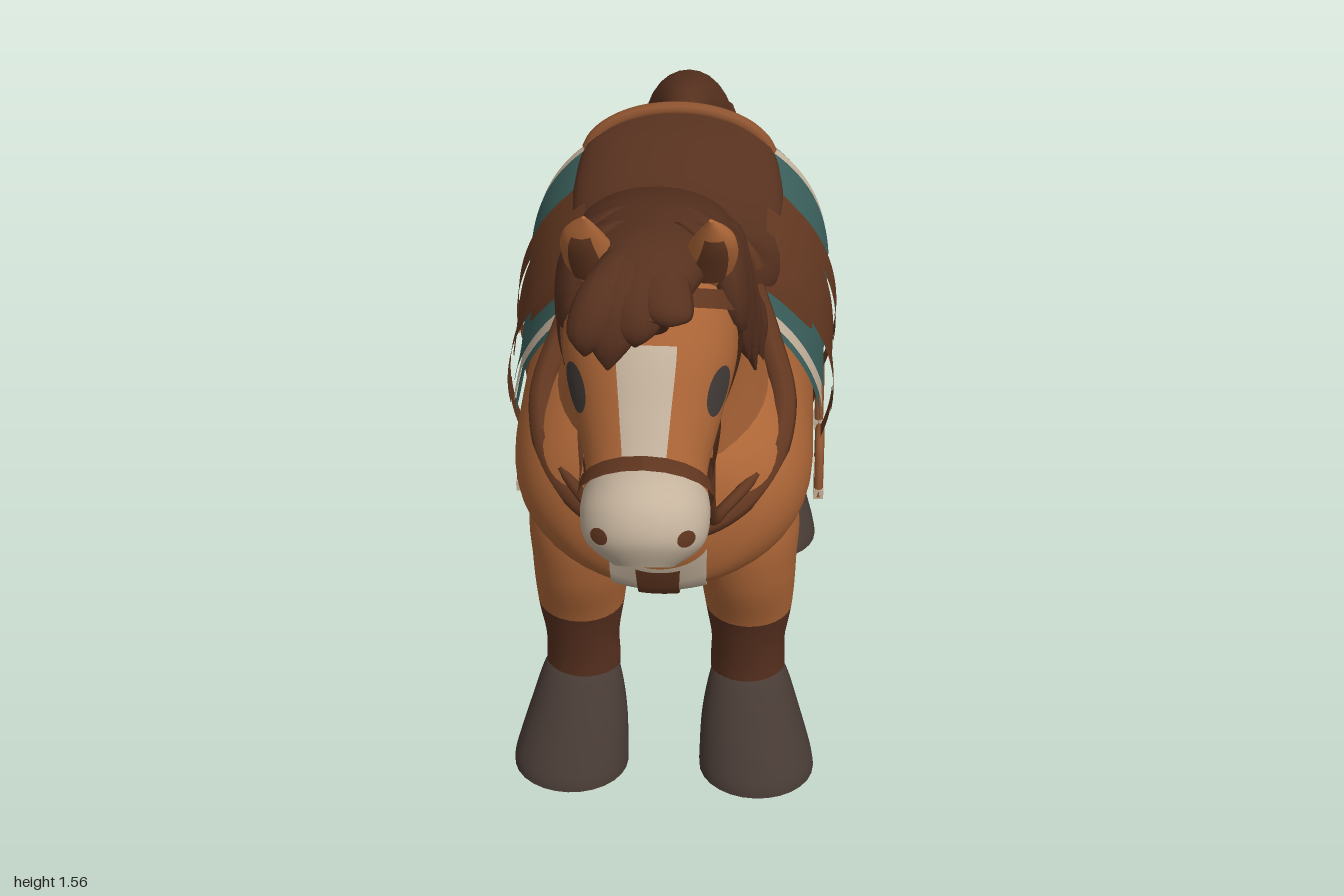
import * as THREE from 'three';

const mat = (name, color) => new THREE.MeshStandardMaterial({ name, color, side: THREE.DoubleSide });
const lerp = THREE.MathUtils.lerp;

// Smooth interpolation through rows of numbers, t running from 0 to rows.length - 1
function sample(rows, t) {
  const n = rows.length - 1;
  const i = Math.min(n - 1, Math.max(0, Math.floor(t))), f = t - i;
  const b = rows[i], c = rows[i + 1], a = rows[i - 1] || b, d = rows[i + 2] || c;
  return b.map((p, k) => {
    const m0 = (c[k] - a[k]) / 2, m1 = (d[k] - p) / 2, q = c[k];
    return p + f * (m0 + f * (3 * (q - p) - 2 * m0 - m1 + f * (2 * (p - q) + m0 + m1)));
  });
}

// Limb surface from rows [x, y, z, halfWidth, halfDepth]; rings lean with the path unless tilt is fixed
function limb(rows, tilt) {
  const n = rows.length - 1;
  return (t, a, off = 0) => {
    const [x, y, z, w, d] = sample(rows, t);
    let k = tilt;
    if (k === undefined) {
      const p = sample(rows, Math.max(0, t - 0.3)), q = sample(rows, Math.min(n, t + 0.3));
      k = Math.atan2(p[1] - q[1], q[2] - p[2]);
    }
    const u = (Math.max(d, 0.001) + off) * Math.cos(a);
    return [x + (Math.max(w, 0.001) + off) * Math.sin(a), y + u * Math.cos(k), z + u * Math.sin(k)];
  };
}

// Grid mesh over f(u, v); optionally closed around v with end caps
function sheet(f, nu, nv, closed) {
  const pos = [], idx = [], cols = closed ? nv : nv + 1;
  for (let i = 0; i <= nu; i++) for (let j = 0; j < cols; j++) pos.push(...f(i / nu, j / nv));
  for (let i = 0; i < nu; i++) for (let j = 0; j < nv; j++) {
    const a = i * cols + j, b = i * cols + (j + 1) % cols;
    idx.push(a, a + cols, b, b, a + cols, b + cols);
  }
  if (closed) for (const end of [0, 1]) {
    const s = pos.length / 3, mid = [0, 0, 0];
    for (let j = 0; j < nv; j++) {
      const p = f(end, j / nv);
      pos.push(...p);
      p.forEach((e, k) => { mid[k] += e / nv; });
    }
    pos.push(...mid);
    for (let j = 0; j < nv; j++) {
      const a = s + j, b = s + (j + 1) % nv;
      idx.push(s + nv, end ? a : b, end ? b : a);
    }
  }
  const g = new THREE.BufferGeometry();
  g.setAttribute('position', new THREE.Float32BufferAttribute(pos, 3));
  g.setIndex(idx);
  g.computeVertexNormals();
  return g;
}

export function createModel() {
  const model = new THREE.Group();
  model.name = 'saddledPony';
  const coat = mat('chestnutCoat', 0xad6637), hair = mat('darkHair', 0x57311f), sock = mat('legBrown', 0x57301f);
  const hoofM = mat('hoofGrey', 0x483b35), cream = mat('cream', 0xc6b49e), tack = mat('leather', 0x623720);
  const teal = mat('tealCloth', 0x3a5f5b), dark = mat('eyeDark', 0x403936), tan = mat('tanLeather', 0x8f5430);

  const add = (name, geo, m) => {
    const mesh = new THREE.Mesh(geo, m);
    mesh.name = name;
    model.add(mesh);
    return mesh;
  };
  const solid = (name, at, t0, t1, m, nu = 24, nv = 28) =>
    add(name, sheet((u, v) => at(lerp(t0, t1, u), v * Math.PI * 2), nu, nv, true), m);
  const patch = (name, f, m, nu = 20, nv = 20) => add(name, sheet(f, nu, nv), m);
  const strip = (name, at, t0, t1, a0, a1, off, m) =>
    patch(name, (u, v) => at(lerp(t0, t1, u), lerp(a0, a1, v), off), m);
  const spot = (name, at, t, a, rt, ra, off, m) => patch(name, (u, v) =>
    at(t + rt * u * Math.cos(v * 2 * Math.PI), a + ra * u * Math.sin(v * 2 * Math.PI), off), m, 3, 20);
  const tube = (name, pts, r, m) => add(name, new THREE.TubeGeometry(
    new THREE.CatmullRomCurve3(pts.map(p => new THREE.Vector3(...p))), 40, r, 8), m);

  // Barrel, from rump to chest
  const bodyRows = [[0, .80, -.61, .10, .09], [0, .785, -.575, .21, .19], [0, .775, -.50, .27, .255], [0, .78, -.40, .288, .285],
    [0, .74, -.2, .285, .285], [0, .727, 0, .28, .277], [0, .745, .2, .28, .285], [0, .75, .35, .277, .255],
    [0, .755, .45, .245, .21], [0, .75, .515, .18, .155], [0, .745, .545, .09, .08]];
  const body = limb(bodyRows, 0);
  solid('body', body, 0, 10, coat, 60, 48);
  const tAt = z => {
    let lo = 0, hi = 10;
    for (let i = 0; i < 20; i++) {
      const m = (lo + hi) / 2;
      if (sample(bodyRows, m)[2] < z) lo = m; else hi = m;
    }
    return lo;
  };
  const onBody = (z, a, off) => body(tAt(z), a, off);

  // Pale belly, chest mark and chest strap
  strip('bellyPatch', onBody, -.28, .19, Math.PI - .9, Math.PI + .9, .006, cream);
  for (const [name, w, off, m] of [['chestMark', .085, .007, cream], ['chestStrap', .035, .016, tack]])
    patch(name, (u, v) => {
      const t = tAt(lerp(.22, .544, u)), half = sample(bodyRows, t)[3];
      return body(t, Math.PI + Math.asin(Math.min(.9, w / half)) * (1 - 2 * v), off);
    }, m);

  // Neck with a small throat mark
  const neck = limb([[0, .80, .27, .22, .2], [0, .86, .32, .212, .225], [0, .95, .365, .188, .205], [0, 1.10, .425, .16, .165],
    [0, 1.20, .49, .145, .145], [0, 1.30, .58, .135, .135], [0, 1.37, .66, .11, .11]], -.93);
  solid('neck', neck, 0, 6, coat, 32, 36);
  spot('throatMark', neck, 2.45, Math.PI, .4, .13, .005, cream);

  // Head with a pale muzzle that starts further forward under the chin
  const head = limb([[0, 1.42, .66, .08, .06], [0, 1.37, .69, .13, .115], [0, 1.27, .735, .144, .138], [0, 1.18, .80, .12, .118],
    [0, 1.11, .86, .1, .096], [0, 1.06, .905, .107, .095], [0, 1.015, .93, .096, .083], [0, .98, .945, .05, .045]], .96);
  const split = a => 4.5 - .6 * Math.cos(a);
  const skull = (u, v) => head(split(v * 2 * Math.PI) * u, v * 2 * Math.PI);
  const nose = (u, v) => head(lerp(split(v * 2 * Math.PI), 7, u), v * 2 * Math.PI);
  add('head', sheet(skull, 32, 36, true), coat);
  add('muzzle', sheet(nose, 24, 36, true), cream);
  strip('blaze', head, 2, 3.75, -.34, .34, .004, cream);
  strip('noseband', (t, a, off) => head(split(a) + t, a, off), -.22, .06, 0, Math.PI * 2, .009, tack);

  // Mane ridge along the crest
  const maneRows = [[0, 1.03, .17, .05, .04], [0, 1.13, .27, .11, .08], [0, 1.24, .37, .125, .08], [0, 1.335, .47, .13, .075],
    [0, 1.395, .58, .13, .07], [0, 1.425, .68, .11, .065], [0, 1.435, .78, .085, .055], [0, 1.39, .86, .035, .03]];
  solid('maneRidge', limb(maneRows), 0, 7, hair, 36, 24);
  const lock = (name, rows) => solid(name, limb(rows), 0, rows.length - 1, hair, 12, 12);

  // Forelock swept over the brow to one side
  for (const [x, y] of [[-.088, 1.34], [-.055, 1.315], [-.015, 1.36], [.035, 1.4]])
    lock('forelock', [[x * .2, 1.465, .74, .045, .03], [x * .7, 1.435, .825, .048, .032], [x, (y + 1.42) / 2, .862, .038, .024], [x * 1.1, y, .868, .003, .003]]);

  for (const s of [-1, 1]) {
    // Mane locks draped down each side
    for (let i = 0; i < 7; i++) {
      const [, y, z] = sample(maneRows, .9 + i * .68);
      const len = .14 + .12 * Math.sin(Math.PI * (i + .5) / 7) + .04 * (i % 2), out = .185 - .005 * i;
      lock('maneLock', [[s * .05, y + .04, z - .02, .03, .05], [s * .11, y, z, .035, .075],
        [s * out * .87, y - len * .5, z + .01, .026, .062], [s * out, y - len, z - .03, .003, .004]]);
    }
    // Ears
    const ear = limb([[s * .085, 1.39, .715, .035, .03], [s * .097, 1.45, .74, .044, .032],
      [s * .106, 1.51, .775, .031, .022], [s * .10, 1.555, .80, .003, .003]]);
    solid('ear', ear, 0, 3, coat, 16, 16);
    strip('innerEar', ear, .7, 2.3, Math.PI - .6, Math.PI + .6, .004, tack);
    // Face details and bridle
    spot('eye', head, 2.62, s * 1.03, .38, .21, .006, dark);
    spot('nostril', head, 5.75, s * .74, .3, .18, .005, tack);
    patch('cheekStrap', (u, v) => head(lerp(1.1, 3.1, u), s * (lerp(1.75, 2.2, u) + (v - .5) * .3), .01), tack);
    patch('noseStrap', (u, v) => head(lerp(2.85, 4.3, u) + (v - .5) * .25, s * (lerp(2.2, 1.5, u) + (v - .5) * .15), .01), tack);
    strip('browBand', head, 1.15, 1.45, s * .4, s * 2.4, .01, tack);
    tube('rein', [[s * .1, 1.08, .79], [s * .1, .96, .74], [s * .105, .87, .67], [s * .12, .825, .58], [s * .16, .83, .51], [s * .215, .87, .42]], .011, tack);
    // Breast collar half
    tube('breastCollar', [[0, .75, .548], [s * .1, .77, .538], [s * .19, .82, .465], [s * .222, .9, .355], [s * .19, .98, .25], [s * .16, 1.02, .16]], .025, tack);

    // Saddle cloth with an inset pale stripe, rounded at its lower corners
    const cloth = (name, z0, z1, a0, a1, k, off, m) => patch(name, (u, v) => {
      const mid = (z0 + z1) / 2, half = (z1 - z0) / 2 * (1 - k * v ** 5);
      return onBody(mid + half * (2 * u - 1), s * lerp(a0, a1, v), off);
    }, m);
    cloth('clothEdge', -.412, .212, .58, 1.575, .13, .012, teal);
    cloth('clothStripe', -.398, .198, .6, 1.53, .13, .017, cream);
    cloth('saddleCloth', -.367, .167, .64, 1.43, .13, .022, teal);
    cloth('saddleSkirt', -.26, .1, .45, 1.1, .25, .028, tack);
    cloth('saddleFlap', -.18, .03, .6, 1.55, .5, .036, tack);
    cloth('girth', -.145, -.025, 1.45, 2.3, .2, .015, tack);
    // Stirrup straps and stirrups
    for (const z of [.04, -.2]) {
      cloth('stirrupStrap', z - .035, z + .035, .75, 1.72, .35, .04, tack);
      cloth('stirrupLeather', z - .022, z + .022, 1.6, 2.0, 0, .038, tack);
      tube('stirrup', [[s * .297, .5, z - .055], [s * .297, .56, z - .048], [s * .297, .605, z - .03],
        [s * .297, .605, z + .03], [s * .297, .56, z + .048], [s * .297, .5, z + .055]], .009, tan);
      const tread = add('stirrupTread', new THREE.BoxGeometry(.02, .022, .125), cream);
      tread.position.set(s * .297, .507, z);
    }

    // Legs, socks and hooves, with a tuft of hair behind each fetlock
    const leg = (name, rows, cut, shift) => {
      const at = limb(rows.map(([x, ...r]) => [s * x, ...r]), Math.PI / 2), n = rows.length - 1;
      solid(name + 'Leg', at, 0, cut, coat);
      solid(name + 'Sock', at, cut, n, sock);
      const hoof = [[.167, .215, .262, .055, .05], [.168, .19, .27, .076, .068], [.174, .11, .298, .098, .09],
        [.185, .03, .33, .113, .102], [.187, 0, .338, .115, .103]].map(([x, y, z, w, d]) => [s * x, y, z + shift, w, d]);
      solid(name + 'Hoof', limb(hoof, Math.PI / 2), 0, 4, hoofM);
      solid('fetlockHair', limb([[s * .167, .26, .245 + shift, .06, .05], [s * .167, .18, .23 + shift, .072, .054],
        [s * .17, .12, .215 + shift, .06, .042], [s * .17, .07, .19 + shift, .012, .008]], Math.PI / 2), 0, 3, sock, 14, 18);
    };
    leg('front', [[.13, .82, .30, .06, .06], [.152, .64, .305, .102, .112], [.16, .5, .298, .095, .106], [.165, .37, .272, .085, .083],
      [.165, .28, .262, .073, .072], [.165, .2, .255, .074, .07], [.168, .12, .27, .07, .06]], 3, 0);
    leg('hind', [[.13, .82, -.41, .08, .1], [.155, .64, -.42, .108, .152], [.16, .5, -.41, .098, .122], [.163, .42, -.46, .088, .1],
      [.165, .365, -.49, .085, .103], [.165, .28, -.5, .076, .088], [.165, .2, -.505, .075, .074], [.168, .12, -.495, .07, .06]], 4, -.77);
  }

  // Collar buckle on the chest
  add('collarBuckle', new THREE.BoxGeometry(.075, .1, .04), coat).position.set(0, .75, .56);

  // Saddle: leather over the back, dipped seat, rolled cantle with a tan back
  strip('saddleBlanketTop', onBody, -.41, .2, -.65, .65, .019, tack);
  const seat = limb([[0, 1.0, .125, .1, .07], [0, 1.01, .095, .17, .13], [0, .98, .05, .2, .11], [0, .95, -.05, .212, .085],
    [0, .95, -.18, .212, .095], [0, .99, -.27, .21, .11], [0, 1.03, -.315, .19, .12], [0, 1.03, -.335, .14, .09]], 0);
  solid('saddleSeat', seat, 0, 6, hair, 36, 32);
  solid('cantleBack', seat, 6, 7, tan, 8, 32);
  const rim = (name, t, m) => tube(name, Array.from({ length: 13 }, (_, i) => seat(t, -1.4 + i * 2.8 / 12, -.004)), .014, m);
  rim('pommelRoll', 1, tack);
  rim('cantleRoll', 6, tan);

  // Tail with side locks
  solid('tail', limb([[0, .99, -.54, .03, .03], [0, .965, -.65, .06, .06], [0, .88, -.755, .095, .11], [0, .74, -.83, .115, .125],
    [0, .58, -.87, .12, .128], [0, .42, -.89, .1, .1], [0, .28, -.905, .06, .055], [0, .17, -.92, .004, .004]]), 0, 7, hair, 40, 24);
  for (const [x, y, z] of [[.1, .62, -.79], [-.1, .56, -.8], [.08, .4, -.86], [-.08, .35, -.9], [.03, .3, -.81]])
    lock('tailLock', [[x * .6, y + .26, z - .01, .04, .05], [x, y + .12, z - .015, .04, .055], [x * 1.15, y, z, .003, .003]]);

  return model;
}
